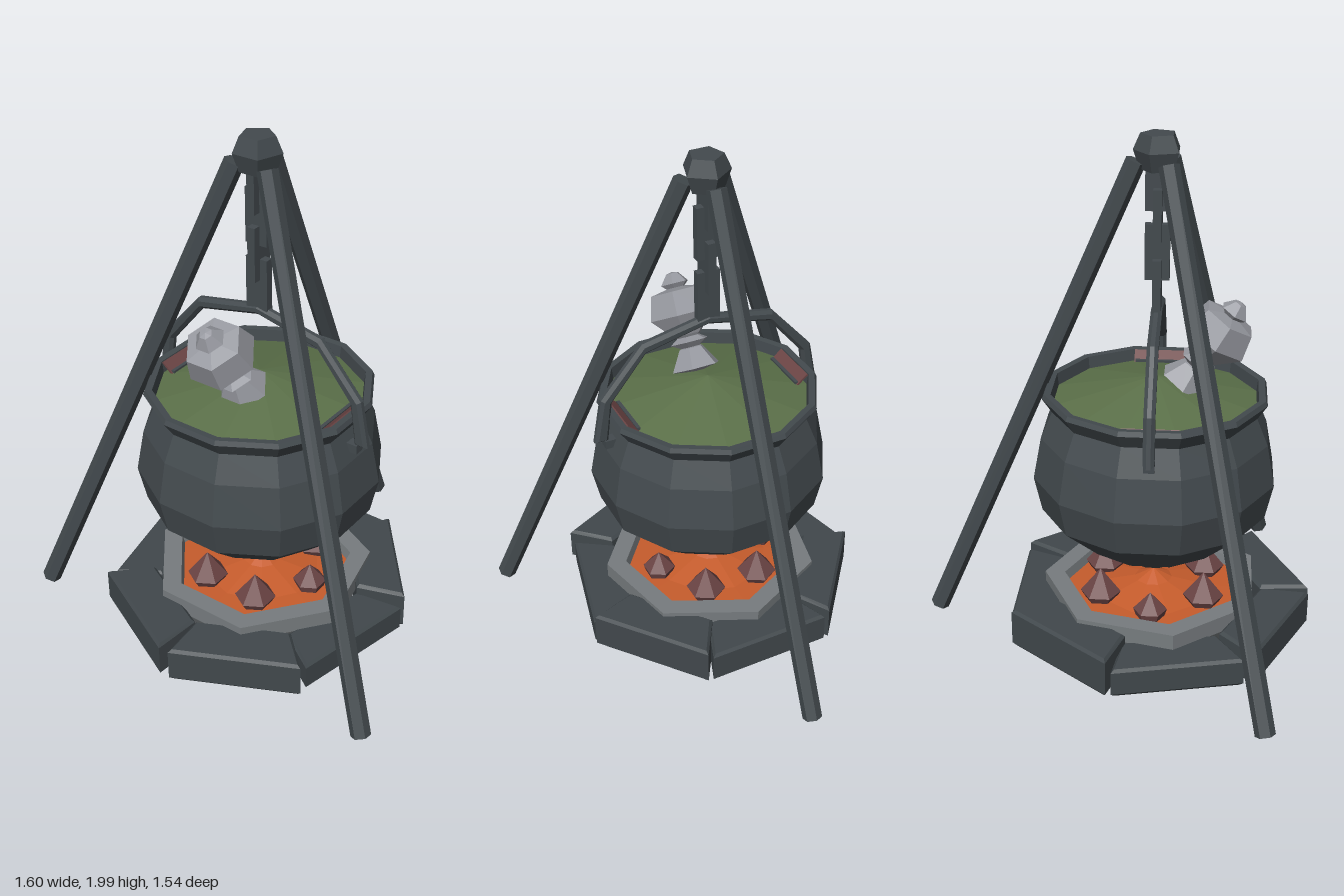
import * as THREE from 'three';

const CZ = 0.15; // the pot, hearth and tripod share this z axis

const mat = (name, color) => {
  const m = new THREE.MeshStandardMaterial({ color });
  m.name = name;
  return m;
};

// Faceted normals for the low-poly look
function facet(geometry) {
  const g = geometry.index ? geometry.toNonIndexed() : geometry;
  g.computeVertexNormals();
  return g;
}

export function createModel() {
  const iron = mat('dark iron', 0x434a4e);
  const stone = mat('dark stone', 0x41484c);
  const ash = mat('ash grey', 0x777c7f);
  const ember = mat('ember orange', 0xc65c2c);
  const coal = mat('coal red brown', 0x6c4545);
  const brew = mat('brew green', 0x5b7049);
  const steam = mat('steam grey', 0x96989f);

  const model = new THREE.Group();
  model.name = 'cauldronOnTripod';
  const body = new THREE.Group();
  body.name = 'assembly';
  body.position.z = CZ;
  model.add(body);

  const add = (name, geometry, material, parent = body) => {
    const mesh = new THREE.Mesh(facet(geometry), material);
    mesh.name = name;
    parent.add(mesh);
    return mesh;
  };
  const lathe = (points, sides, start = 0) =>
    new THREE.LatheGeometry(points.map(([r, y]) => new THREE.Vector2(r, y)), sides, start);
  const polygon = (points) => new THREE.Shape(points.map(([x, y]) => new THREE.Vector2(x, y)));

  // Hearth: seven bevelled stones, each [top height, outward shift]
  const back = [0.155, 0], backSide = [0.18, 0.008], side = [0.135, 0], front = [0.165, 0.03];
  [back, backSide, side, front, front, side, backSide].forEach(([top, shift], i) => {
    const bevel = 0.012;
    const g = new THREE.ExtrudeGeometry(
      polygon([[-0.185, 0.36], [0.185, 0.36], [0.252, 0.542], [-0.252, 0.542]]),
      { depth: top - 0.018 - 2 * bevel, bevelEnabled: true, bevelSegments: 1,
        bevelSize: bevel, bevelThickness: bevel, bevelOffset: -bevel });
    g.translate(0, shift, 0.018 + bevel);
    g.rotateX(-Math.PI / 2);
    g.rotateY(i * Math.PI * 2 / 7);
    add('hearthStone', g, stone);
  });

  // Ash bed with a raised rim around the embers, corners over the stones
  add('ashBed', lathe([[0, 0.06], [0.4, 0.06], [0.44, 0.13], [0.44, 0.197], [0.36, 0.197], [0.345, 0.14]],
    7, Math.PI), ash);
  add('embers', lathe([[0.36, 0.158], [0.235, 0.162], [0.075, 0.197], [0, 0.235]], 10), ember);

  // Six pointed coals in a ring, the two at the sides smaller
  for (let i = 0; i < 6; i++) {
    const a = i * Math.PI / 3;
    const [r, tip] = i % 3 === 0 ? [0.066, 0.262] : [0.08, 0.292];
    const c = add('coal', lathe([[0, 0.12], [0.05, 0.14], [r, 0.19], [0, tip]], 6), coal);
    c.position.set(0.235 * Math.cos(a), 0, 0.235 * Math.sin(a));
  }

  // Pot with flared rim and inner wall
  add('pot', lathe([[0, 0.285], [0.1, 0.29], [0.125, 0.315], [0.29, 0.405], [0.445, 0.545], [0.476, 0.685],
    [0.445, 0.85], [0.4, 0.955], [0.438, 1.012], [0.43, 1.03], [0.404, 1.028], [0.395, 0.95]],
    12, Math.PI / 12), iron);
  add('brew', lathe([[0.4, 0.98], [0, 1.077]], 12, Math.PI / 12), brew);

  // Handle lugs outside, rusty sloping plates on an iron lip inside the rim
  for (const s of [-1, 1]) {
    add('handleLug', new THREE.BoxGeometry(0.06, 0.035, 0.04), iron).position.set(s * 0.415, 0.9, 0);
    const plate = add('innerLugPlate', new THREE.BoxGeometry(0.06, 0.008, 0.21), coal);
    plate.position.set(s * 0.364, 1.006, 0);
    plate.rotation.z = s * 0.7;
    add('innerLugLip', new THREE.BoxGeometry(0.014, 0.04, 0.2), iron).position.set(s * 0.34, 0.982, 0);
  }

  // Bail handle, mirrored from one half outline, with bevelled edges
  const outer = [[0, 1.355], [0.275, 1.3], [0.45, 1.1], [0.485, 0.915]];
  const inner = [[0.43, 0.915], [0.407, 1.08], [0.26, 1.258], [0, 1.315]];
  const half = [...outer, ...inner];
  const mirrored = half.slice(1, -1).reverse().map(([x, y]) => [-x, y]);
  const bail = new THREE.ExtrudeGeometry(polygon([...half, ...mirrored]),
    { depth: 0.016, bevelEnabled: true, bevelSegments: 1,
      bevelSize: 0.012, bevelThickness: 0.013, bevelOffset: -0.012 });
  bail.translate(0, 0, -0.008);
  add('bailHandle', bail, iron);

  // Chain of flat links, each turned a quarter from the last
  [1.825, 1.7, 1.565, 1.437].forEach((y, i) => {
    const link = add('chainLink', new THREE.BoxGeometry(0.092, 0.21, 0.032), iron);
    link.position.y = y;
    link.rotation.y = i % 2 ? 0 : Math.PI / 2;
  });

  // Tripod: five-sided knob and three legs
  add('tripodKnob', lathe([[0, 1.87], [0.068, 1.87], [0.092, 1.94], [0.066, 2], [0, 2]], 5, Math.PI), iron);
  const top = new THREE.Vector3(0, 1.9, -0.08);
  const foot = new THREE.Vector3(0, 0.022, -0.885);
  const axis = top.clone().sub(foot);
  for (let i = 0; i < 3; i++) {
    const pivot = new THREE.Group();
    pivot.name = 'tripodLeg';
    pivot.rotation.y = i * Math.PI * 2 / 3;
    body.add(pivot);
    const leg = add('legPole', new THREE.CylinderGeometry(0.038, 0.038, axis.length(), 6), iron, pivot);
    leg.position.copy(top).add(foot).multiplyScalar(0.5);
    leg.quaternion.setFromUnitVectors(new THREE.Vector3(0, 1, 0), axis.clone().normalize());
  }

  // Steam puffs rising and leaning to the front
  const plume = new THREE.Group();
  plume.name = 'steam';
  plume.position.set(0, 1.035, 0.095);
  plume.rotation.x = 0.57;
  body.add(plume);
  const puffs = [
    [[0, 0], [0.1, 0.02], [0.05, 0.1], [0, 0.12]],
    [[0, 0.08], [0.08, 0.125], [0, 0.175]],
    [[0, 0.11], [0.06, 0.155], [0.135, 0.235], [0.11, 0.33], [0, 0.35]],
    [[0, 0.31], [0.058, 0.36], [0.025, 0.4], [0, 0.405]],
  ];
  puffs.forEach((p) => add('steamPuff', lathe(p, 6, Math.PI / 6), steam, plume));

  return model;
}
